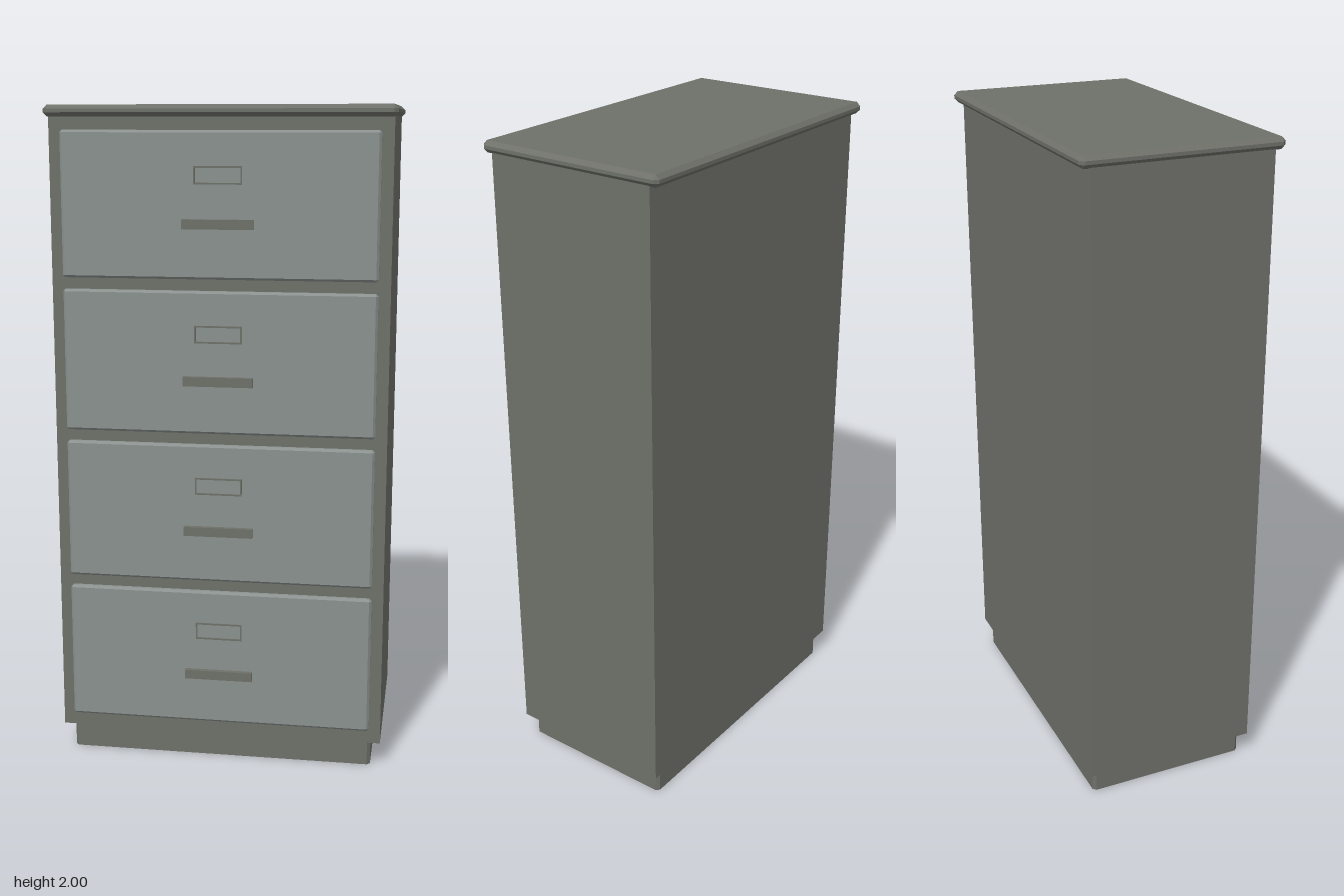
import * as THREE from 'three';
import { ConvexGeometry } from 'three/addons/geometries/ConvexGeometry.js';

// Box with a flat chamfer on every edge and corner
function chamferBox(w, h, d, c) {
  const points = [];
  for (const x of [-1, 1]) for (const y of [-1, 1]) for (const z of [-1, 1]) {
    for (const [a, b, e] of [[0, c, c], [c, 0, c], [c, c, 0]]) {
      points.push(new THREE.Vector3(x * (w / 2 - a), y * (h / 2 - b), z * (d / 2 - e)));
    }
  }
  return new ConvexGeometry(points);
}

// Rectangle with cut corners, extruded upwards
function cutCornerPrism(w, h, d, c) {
  const x = w / 2, z = d / 2;
  const shape = new THREE.Shape([
    [x - c, -z], [x, c - z], [x, z - c], [x - c, z],
    [c - x, z], [-x, z - c], [-x, c - z], [c - x, -z],
  ].map(([px, pz]) => new THREE.Vector2(px, pz)));
  return new THREE.ExtrudeGeometry(shape, { depth: h, bevelEnabled: false }).rotateX(-Math.PI / 2);
}

// Thin rectangular frame
function frameGeometry(w, h, t, depth) {
  const rect = (Type, a, b) => new Type([
    new THREE.Vector2(-a, -b), new THREE.Vector2(a, -b),
    new THREE.Vector2(a, b), new THREE.Vector2(-a, b),
  ]);
  const shape = rect(THREE.Shape, w / 2, h / 2);
  shape.holes.push(rect(THREE.Path, w / 2 - t, h / 2 - t));
  return new THREE.ExtrudeGeometry(shape, { depth, bevelEnabled: false });
}

export function createModel() {
  const model = new THREE.Group();
  model.name = 'filingCabinet';

  const bodyPaint = new THREE.MeshStandardMaterial({ color: 0x6e7069 });
  bodyPaint.name = 'body grey';
  const drawerPaint = new THREE.MeshStandardMaterial({ color: 0x8a918e });
  drawerPaint.name = 'drawer grey';

  const add = (parent, name, geometry, material, x, y, z) => {
    const mesh = new THREE.Mesh(geometry, material);
    mesh.name = name;
    mesh.position.set(x, y, z);
    parent.add(mesh);
  };

  // Plinth, carcass and overhanging top
  add(model, 'plinth', cutCornerPrism(0.94, 0.08, 0.51, 0.01), bodyPaint, 0, 0, 0);
  add(model, 'carcass', new THREE.BoxGeometry(1, 1.9, 0.54), bodyPaint, 0, 1.03, 0);
  add(model, 'top', chamferBox(1.02, 0.034, 0.6, 0.012), bodyPaint, 0, 1.983, 0);

  // Four identical drawers
  const front = chamferBox(0.93, 0.426, 0.03, 0.007);
  const labelFrame = frameGeometry(0.142, 0.052, 0.005, 0.004);
  const handle = new THREE.BoxGeometry(0.208, 0.028, 0.018);
  for (let i = 0; i < 4; i++) {
    const drawer = new THREE.Group();
    drawer.name = `drawer${i + 1}`;
    drawer.position.set(0, 0.336 + i * 0.46, 0);
    add(drawer, 'drawerFront', front, drawerPaint, 0, 0, 0.271);
    add(drawer, 'labelFrame', labelFrame, bodyPaint, 0, 0.086, 0.285);
    add(drawer, 'handle', handle, bodyPaint, 0, -0.053, 0.292);
    model.add(drawer);
  }
  return model;
}
